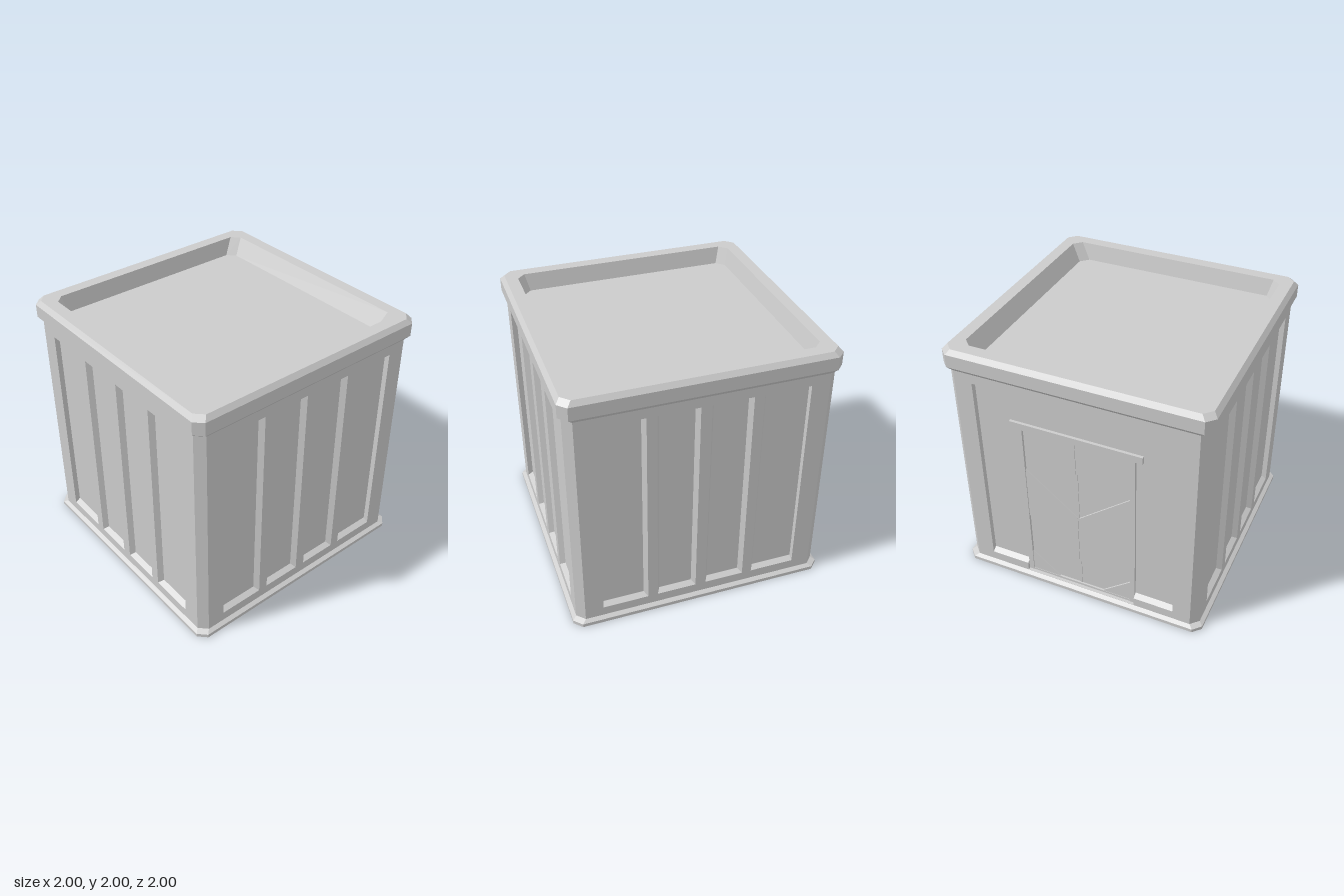
import * as THREE from 'three';

const material = new THREE.MeshStandardMaterial({ color: 0xcccccc, flatShading: true });
const FACE = 0.97, FLOOR = 0.93; // wall surface and recessed panel surface
const BASE = 0.045, TOP = 1.83;  // wall bottom and top

function add(parent, name, geometry) {
  const mesh = new THREE.Mesh(geometry, material);
  mesh.name = name;
  parent.add(mesh);
  return mesh;
}

// Flat-shaded geometry from a list of convex polygons
function fromPolygons(polygons) {
  const pos = [];
  for (const p of polygons)
    for (let i = 1; i < p.length - 1; i++) pos.push(...p[0], ...p[i], ...p[i + 1]);
  const g = new THREE.BufferGeometry();
  g.setAttribute('position', new THREE.Float32BufferAttribute(pos, 3));
  g.computeVertexNormals();
  return g;
}

// Square ring with cut corners, counter-clockwise from above
function ring(s, y, backShift = 0) {
  const c = s - 0.06;
  return [[c, s], [s, c], [s, -c], [c, -s], [-c, -s], [-s, -c], [-s, c], [-c, s]]
    .map(([x, z]) => [x, y, z < 0 ? z + backShift : z]);
}

// Bands between successive rings; step 2 keeps only the cut corners
function loft(rings, step = 1) {
  const polys = [];
  for (let k = 0; k < rings.length - 1; k++)
    for (let i = 0; i < 8; i += step) {
      const j = (i + 1) % 8, a = rings[k], b = rings[k + 1];
      polys.push([a[i], a[j], b[j], b[i]]);
    }
  return polys;
}

// Sloping sides of a recess, from its outline to its floor outline
function recessSides(outer, inner) {
  return outer.map((p, i) => {
    const j = (i + 1) % outer.length;
    return [[...p, FACE], [...outer[j], FACE], [...inner[j], FLOOR], [...inner[i], FLOOR]];
  });
}

const shapeOf = (pts) => new THREE.Shape(pts.map(([x, y]) => new THREE.Vector2(x, y)));
const rect = (x0, y0, x1, y1) => [[x0, y0], [x1, y0], [x1, y1], [x0, y1]];

// One wall facing +z, with the given recesses: [outline, floor outline]
function makeWall(name, recesses) {
  const wall = new THREE.Group();
  wall.name = name;
  const side = FACE - 0.06;
  const shape = shapeOf(rect(-side, BASE, side, TOP));
  for (const [outer] of recesses) shape.holes.push(shapeOf(outer));
  add(wall, 'wallFrame', new THREE.ShapeGeometry(shape).translate(0, 0, FACE));
  for (const [outer, inner] of recesses) {
    add(wall, 'panelEdge', fromPolygons(recessSides(outer, inner)));
    add(wall, 'panel', new THREE.ShapeGeometry(shapeOf(inner)).translate(0, 0, FLOOR));
  }
  return wall;
}

// Double door with posts, lintel and raised chevron bands
function makeDoor() {
  const door = new THREE.Group();
  door.name = 'door';
  const box = (name, w, h, d, x, y) =>
    add(door, name, new THREE.BoxGeometry(w, h, d).translate(x, y, FLOOR - 0.01 + d / 2));
  box('lintel', 1.02, 0.055, 0.032, 0, 1.4725);
  box('threshold', 0.83, 0.02, 0.025, 0, 0.055);
  const bands = [
    [[0.006, 1.17], [0.35, 1.45], [0.006, 1.45]],
    [[0.006, 0.3], [0.415, 0.63], [0.415, 1.08], [0.006, 0.75]],
    [[0.18, 0.06], [0.415, 0.06], [0.415, 0.25]],
  ];
  for (const s of [-1, 1]) {
    box('doorPost', 0.04, 1.4, 0.03, s * 0.435, 0.75);
    for (const band of bands) {
      const shape = shapeOf(band.map(([x, y]) => [s * x, y]));
      add(door, 'chevronBand', new THREE.ExtrudeGeometry(shape, { depth: 0.012, bevelEnabled: false }))
        .position.z = FLOOR;
    }
  }
  box('doorSeam', 0.012, 1.39, 0.016, 0, 0.755);
  return door;
}

export function createModel() {
  const model = new THREE.Group();
  model.name = 'kiosk';

  // Base skirt and underside
  const bottom = ring(1, 0);
  add(model, 'base', fromPolygons([
    ...loft([bottom, ring(1, 0.028), ring(FACE, BASE)]), [...bottom].reverse()]));

  // Cut corner posts
  add(model, 'cornerPosts', fromPolygons(loft([ring(FACE, BASE), ring(FACE, TOP)], 2)));

  // Roof rim and sunken roof
  const roof = ring(0.845, 1.87, 0.04);
  add(model, 'roofRim', fromPolygons(loft([
    ring(FACE, TOP), ring(1, 1.865), ring(1, 1.965), ring(0.97, 2), ring(0.878, 2), roof])));
  add(model, 'roof', fromPolygons([roof]));

  // Three walls with four tall panels; outermost panel edges are square-cut
  const e = 0.025, y0 = 0.12, y1 = 1.755;
  const panels = [[-0.77, -0.42, 0, e], [-0.345, -0.04, e, e], [0.04, 0.345, e, e], [0.42, 0.77, e, 0]]
    .map(([a, b, l, r]) => [rect(a, y0, b, y1), rect(a + l, y0 + e, b - r, y1 - e)]);
  ['frontWall', 'leftWall', 'backWall'].forEach((name, i) => {
    const wall = makeWall(name, panels);
    wall.rotation.y = i * Math.PI / 2;
    model.add(wall);
  });

  // Door wall: one wide recess, notched down to the base at the doorway
  const outline = (low, high) => [[-0.77, low], [-0.455, low], [-0.455, 0.047], [0.455, 0.047],
    [0.455, low], [0.77, low], [0.77, high], [-0.77, high]];
  const doorWall = makeWall('rightWall', [[outline(y0, y1), outline(y0 + e, y1 - e)]]);
  doorWall.add(makeDoor());
  doorWall.rotation.y = -Math.PI / 2;
  model.add(doorWall);

  return model;
}
